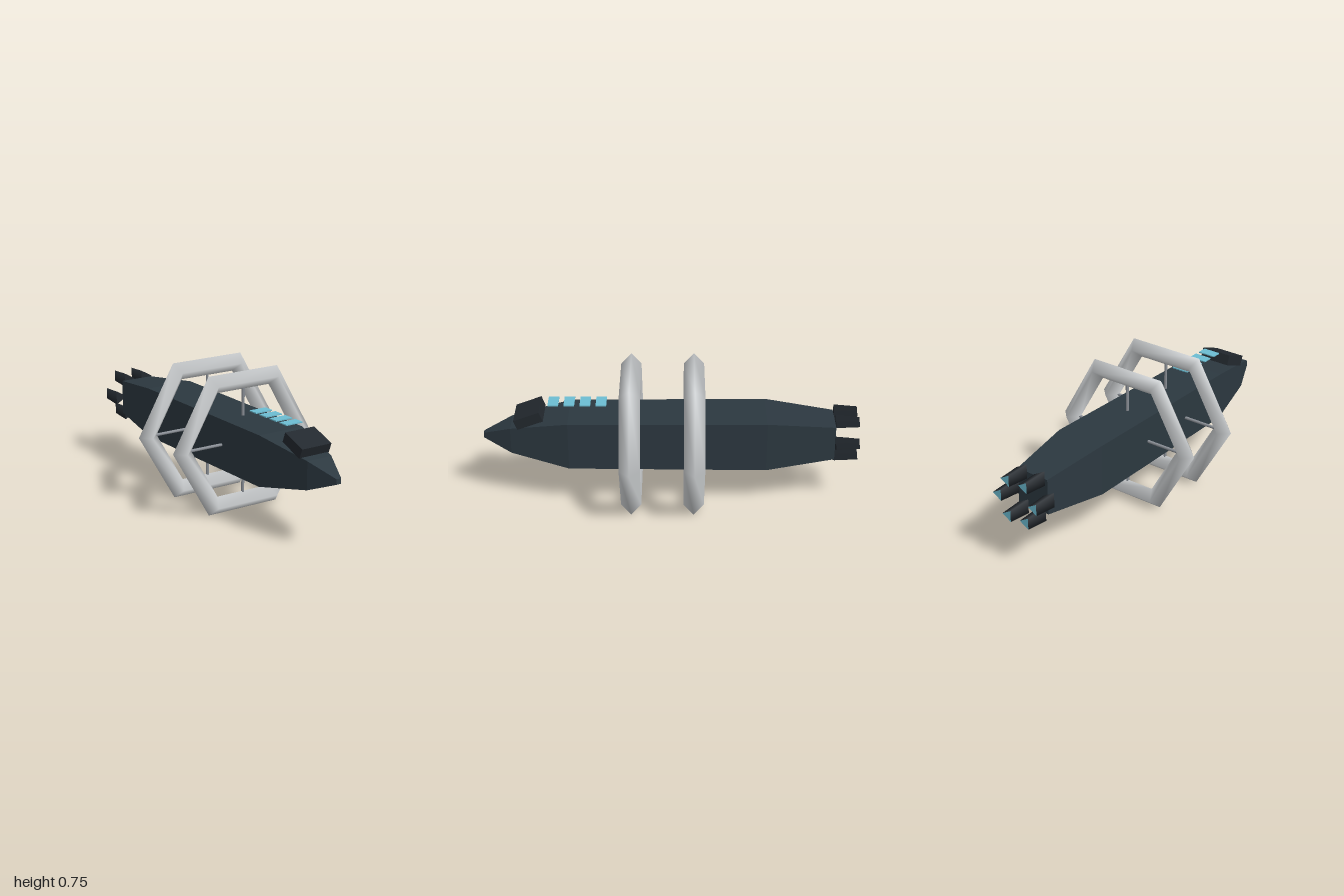
import * as THREE from 'three';

const mat = (name, color) => {
  const m = new THREE.MeshStandardMaterial({ color });
  m.name = name;
  return m;
};

export function createModel() {
  const hullMat = mat('slate hull', 0x2c3840);
  const darkMat = mat('dark charcoal', 0x22282e);
  const ringMat = mat('light grey', 0xcfd2d4);
  const spokeMat = mat('mid grey', 0x8c9198);
  const glowMat = mat('pale blue', 0x6cbdd2);

  const AXIS_Y = 0.379;
  const ship = new THREE.Group();
  ship.name = 'spaceship';
  const add = (name, geometry, material, x = 0, y = 0, z = 0, parent = ship) => {
    const mesh = new THREE.Mesh(geometry, material);
    mesh.name = name;
    mesh.position.set(x, y, z);
    parent.add(mesh);
    return mesh;
  };

  // Square-section hull: [z, half width] from tail to nose
  const stations = [[-0.875, 0], [-0.875, 0.097], [-0.51, 0.14], [0.54, 0.135], [0.85, 0.074], [1, 0.014], [1, 0]];
  const profile = stations.map(([z, half]) => new THREE.Vector2(half * Math.SQRT2, z));
  const hull = new THREE.LatheGeometry(profile, 4, Math.PI / 4).rotateX(Math.PI / 2).toNonIndexed();
  hull.computeVertexNormals();
  add('hull', hull, hullMat, 0, AXIS_Y, 0);

  // Tilted cockpit block
  add('cockpit', new THREE.BoxGeometry(0.18, 0.057, 0.146), darkMat, 0, 0.508, 0.75).rotation.x = 0.36;

  // Row of raised window plates
  for (let i = 0; i < 4; i++) {
    add('window', new THREE.BoxGeometry(0.1, 0.006, 0.056), glowMat, 0, 0.578, 0.366 + i * 0.0845);
  }

  // Two hexagonal rings, each on four spokes
  for (const z of [0.21, -0.126]) {
    const ring = new THREE.Group();
    ring.name = 'habitatRing';
    ring.position.set(0, AXIS_Y, z);
    ship.add(ring);
    add('ring', new THREE.TorusGeometry(0.379, 0.0545, 4, 6), ringMat, 0, 0, 0, ring);
    for (let i = 0; i < 2; i++) {
      const spoke = add('spokePair', new THREE.CylinderGeometry(0.008, 0.008, 0.66, 6), spokeMat, 0, 0, 0, ring);
      spoke.rotation.z = i * Math.PI / 2;
    }
  }

  // Six three-sided engines with glowing rear faces
  for (let i = 0; i < 6; i++) {
    const a = i * Math.PI / 3;
    const engine = new THREE.CylinderGeometry(0.046, 0.036, 0.125, 3, 1, false, Math.PI / 2).rotateX(Math.PI / 2);
    add('engine', engine, [darkMat, darkMat, glowMat], 0.115 * Math.cos(a), AXIS_Y + 0.115 * Math.sin(a), -0.9375);
  }
  return ship;
}
